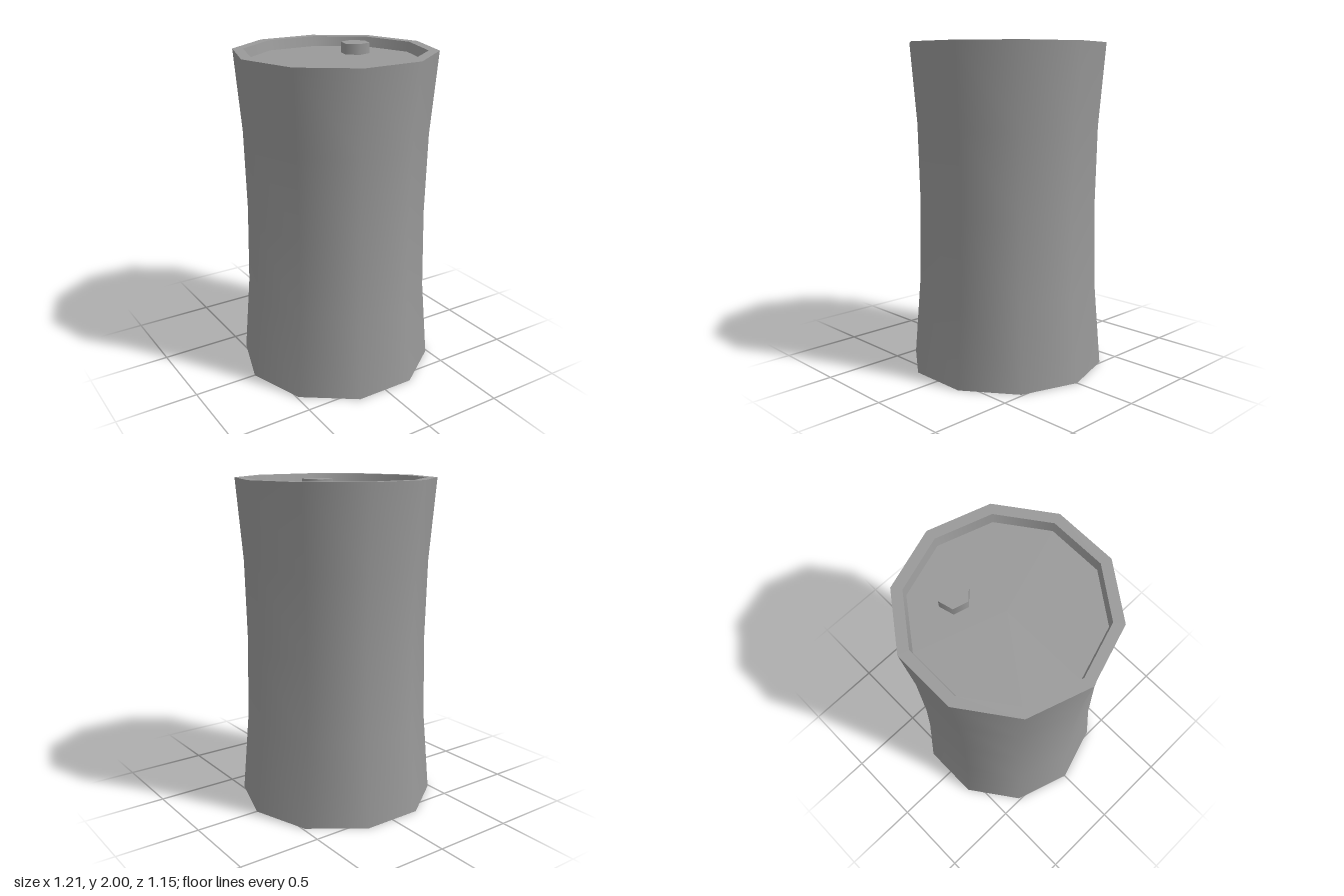
import * as THREE from 'three';

export function createModel() {
  const model = new THREE.Group();
  const material = new THREE.MeshStandardMaterial({ color: 0x999999 });
  const SIDES = 10, TOP = 1.996, RECESS = 0.06;

  function add(name, geometry) {
    const mesh = new THREE.Mesh(geometry, material);
    mesh.name = name;
    model.add(mesh);
    return mesh;
  }

  // Ten-sided band turned from a profile; separate bands keep creases sharp
  function band(name, profile) {
    const points = profile.map(([r, y]) => new THREE.Vector2(r, y));
    const geometry = new THREE.LatheGeometry(points, SIDES, Math.PI / 2);
    geometry.normalizeNormals(); // even shading up to the end rings
    add(name, geometry);
  }

  // Waisted body
  band('body', [[0.604, 0], [0.563, 0.5], [0.552, 1], [0.563, 1.5], [0.604, TOP]]);

  // Recessed top
  band('topRim', [[0.604, TOP], [0.54, TOP]]);
  band('topRecessWall', [[0.54, TOP], [0.527, TOP - RECESS]]);
  band('topPanel', [[0.527, TOP - RECESS], [0, TOP - RECESS]]);

  // Recessed bottom
  band('bottomPanel', [[0, RECESS], [0.527, RECESS]]);
  band('bottomRecessWall', [[0.527, RECESS], [0.54, 0]]);
  band('bottomRim', [[0.54, 0], [0.604, 0]]);

  // Hexagonal filler cap, standing just proud of the rim
  const capHeight = 2 - (TOP - RECESS);
  const cap = add('fillerCap', new THREE.CylinderGeometry(0.089, 0.089, capHeight, 6));
  cap.position.set(0.238, 2 - capHeight / 2, -0.147);
  cap.rotation.y = Math.PI / 4;

  return model;
}
